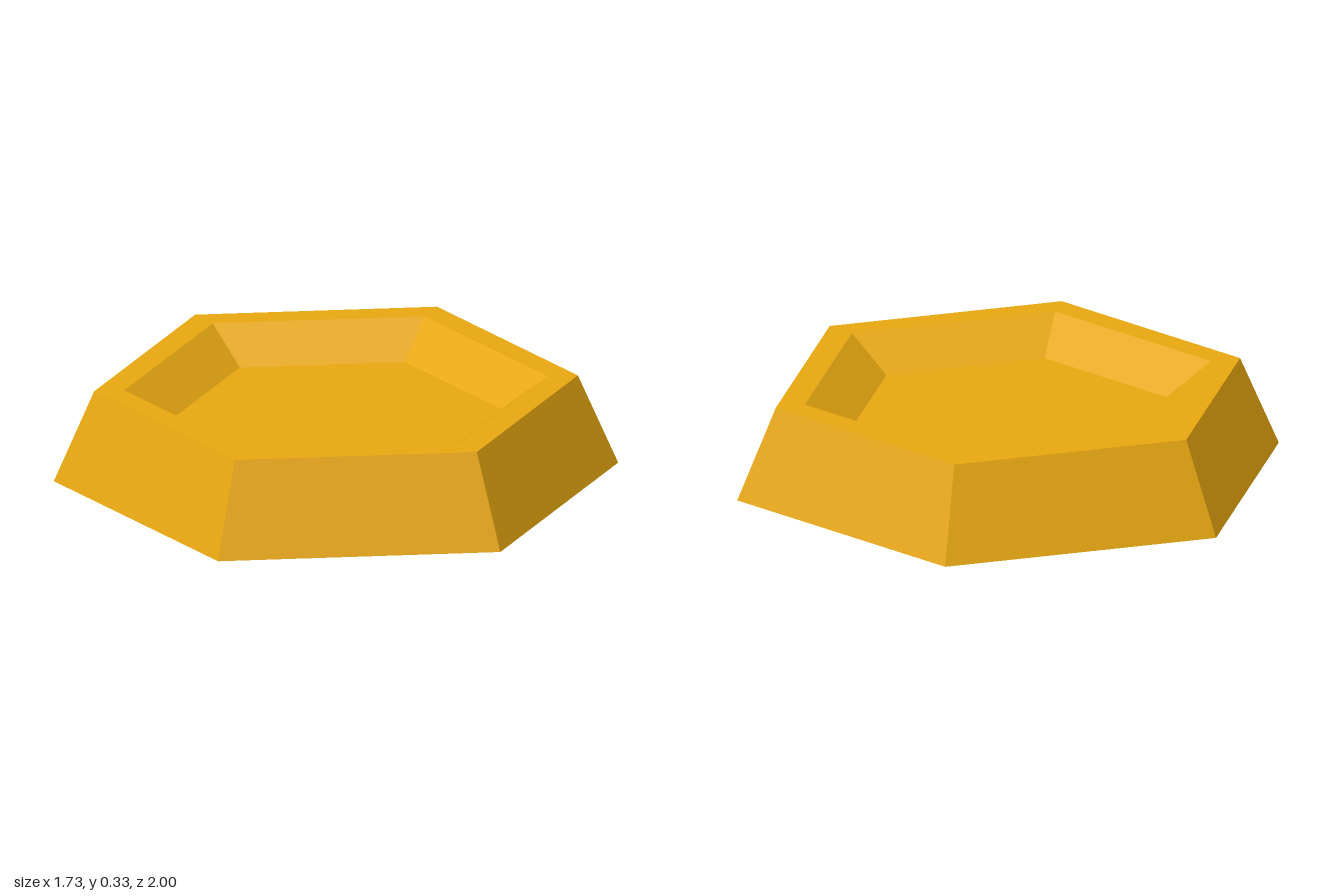
import * as THREE from 'three';

const SIDES = 6;
const HEIGHT = 0.333;
const FLOOR_Y = 0.216;
const BASE_R = 1;
const FLOOR_R = 0.585;

export function createModel() {
  const group = new THREE.Group();
  group.name = 'hexagonalTray';

  const gold = new THREE.MeshStandardMaterial({ color: 0xe6a610 });
  gold.name = 'gold';

  const add = (name, geometry) => {
    const mesh = new THREE.Mesh(geometry, gold);
    mesh.name = name;
    group.add(mesh);
    return mesh;
  };

  // Sloping outer wall, flat rim and sloping inner wall, with a corner at the front
  const profile = [
    [BASE_R, 0],
    [0.857, HEIGHT],
    [0.75, HEIGHT],
    [FLOOR_R, FLOOR_Y],
  ].map(([r, y]) => new THREE.Vector2(r, y));
  const walls = new THREE.LatheGeometry(profile, SIDES).toNonIndexed();
  walls.computeVertexNormals(); // flat facets
  add('wallsAndRim', walls);

  // Flat hexagons closing the recess and the underside
  const hexagon = (radius) => new THREE.CircleGeometry(radius, SIDES, Math.PI / 2);
  add('recessFloor', hexagon(FLOOR_R).rotateX(-Math.PI / 2)).position.y = FLOOR_Y;
  add('underside', hexagon(BASE_R).rotateX(Math.PI / 2));

  return group;
}
